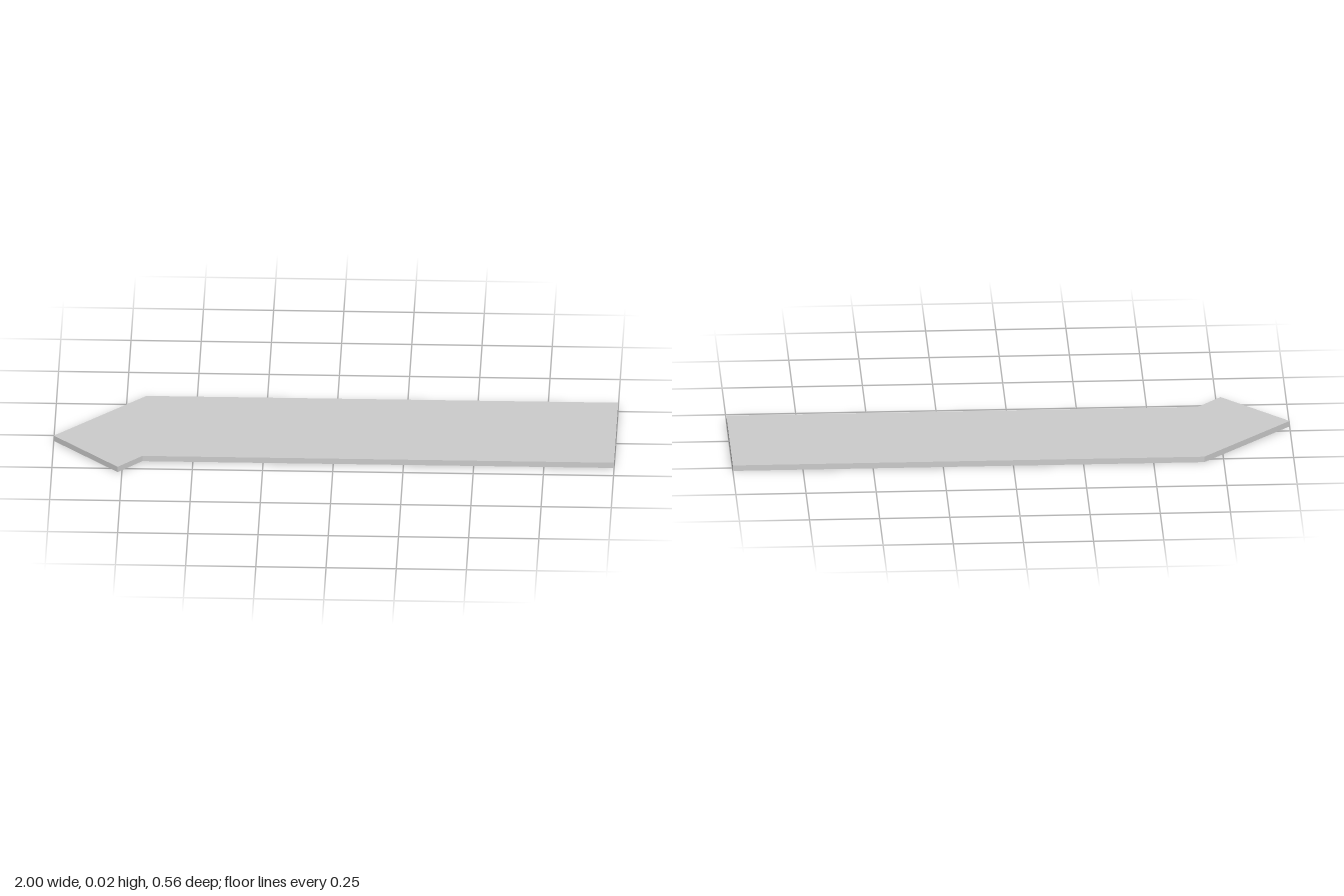
import * as THREE from 'three';

const HEIGHT = 0.021;
const BACK = -0.278, FRONT = 0.19;   // long sides of the body
const END = 1, MID = 0.16, NECK = -0.68; // cross walls along x

export function createModel() {
  const group = new THREE.Group();
  const material = new THREE.MeshStandardMaterial({ color: 0xcccccc, side: THREE.DoubleSide });

  const add = (name, geometry) => {
    const mesh = new THREE.Mesh(geometry, material);
    mesh.name = name;
    group.add(mesh);
    return mesh;
  };

  // Flat top sheet through a list of [x, z] corners
  const sheet = (name, corners) => {
    const shape = new THREE.Shape(corners.map(([x, z]) => new THREE.Vector2(x, -z)));
    add(name, new THREE.ShapeGeometry(shape).rotateX(-Math.PI / 2)).position.y = HEIGHT;
  };

  // Upright thin wall from one [x, z] corner to the next
  const wall = (name, [x1, z1], [x2, z2]) => {
    const mesh = add(name, new THREE.PlaneGeometry(Math.hypot(x2 - x1, z2 - z1), HEIGHT));
    mesh.position.set((x1 + x2) / 2, HEIGHT / 2, (z1 + z2) / 2);
    mesh.rotation.y = -Math.atan2(z2 - z1, x2 - x1);
  };

  // Outline, counter-clockwise seen from above
  const outline = [
    [END, FRONT], [END, BACK], [NECK, BACK],
    [-1, 0.042], [-0.765, 0.278], [NECK, FRONT],
  ];

  // Top and outer rim, open underneath
  sheet('topPanel', outline);
  outline.forEach((p, i) => wall('rimWall', p, outline[(i + 1) % outline.length]));

  // Cross walls dividing the hollow underside
  for (const x of [MID, NECK]) wall('crossWall', [x, FRONT], [x, BACK]);

  return group;
}
